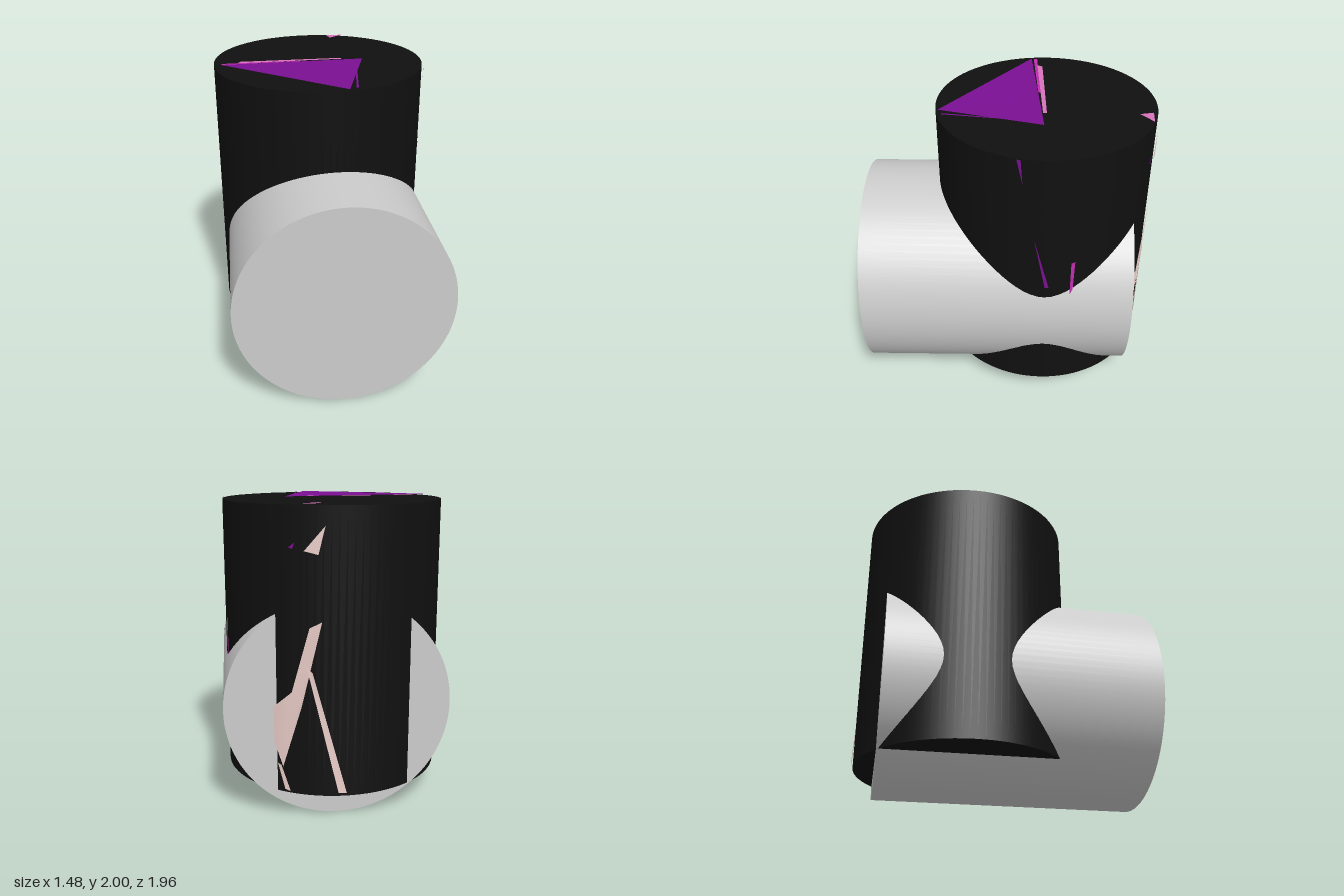
import * as THREE from 'three';

const AXIS_X = -0.02, AXIS_Z = -0.24, R = 0.722, SKIN = 0.735;
const DEG = Math.PI / 180;

const paint = (color, side = THREE.DoubleSide) => new THREE.MeshStandardMaterial({ color, side });
const black = paint(0x101010, THREE.FrontSide);
const grey = paint(0xcccccc, THREE.FrontSide);
const purple = paint(0x7a1092);
const magenta = paint(0xc02cb0);
const pink = paint(0xd873bc);
const pale = paint(0xeccfca);

function add(group, name, geometry, material) {
  const mesh = new THREE.Mesh(geometry, material);
  mesh.name = name;
  group.add(mesh);
  return mesh;
}

const outline = (points) =>
  new THREE.ShapeGeometry(new THREE.Shape(points.map(([u, v]) => new THREE.Vector2(u, v))));

// Moves every vertex of a flat outline with a rule (u, v) -> [x, y, z]
function mapped(points, rule) {
  const geometry = outline(points);
  const pos = geometry.attributes.position;
  for (let i = 0; i < pos.count; i++) pos.setXYZ(i, ...rule(pos.getX(i), pos.getY(i)));
  geometry.computeVertexNormals();
  return geometry;
}

// Shard on the drum wall: u = degrees from the back towards +x, v = height
const onWall = (points) => mapped(points, (a, y) => [
  AXIS_X + SKIN * Math.sin(a * DEG), y, AXIS_Z - SKIN * Math.cos(a * DEG)]);

// Shard lying on the drum lid: u = x, v = z
const onLid = (points, y) => mapped(points, (x, z) => [x, y, z]);

export function createModel() {
  const model = new THREE.Group();

  // Upright and lying drums that cross each other
  add(model, 'uprightDrum', new THREE.CylinderGeometry(R, R, 1.81, 96), black)
    .position.set(AXIS_X, 1.08, AXIS_Z);
  const lying = add(model, 'lyingDrum', new THREE.CylinderGeometry(R, R, 1.81, 96), grey);
  lying.rotation.x = Math.PI / 2;
  lying.position.set(0.013, R, 0.08);

  // Dented purple plate breaking through the lid
  const rim = [[-0.69, 2, -0.15], [0.1, 1.993, 0.46], [0.29, 1.993, -0.22]];
  const dent = [0, 1.988, -0.05];
  const plate = new THREE.BufferGeometry();
  const corners = rim.flatMap((p, i) => [...p, ...rim[(i + 1) % 3], ...dent]);
  plate.setAttribute('position', new THREE.Float32BufferAttribute(corners, 3));
  plate.computeVertexNormals();
  add(model, 'lidPlate', plate, purple);

  // Slivers on the lid
  const lid = [
    [pink, [[-0.58, -0.19], [-0.56, -0.225], [0.14, -0.24], [0.14, -0.215]], 1.997],
    [magenta, [[-0.69, -0.19], [-0.15, -0.205], [-0.15, -0.19], [-0.69, -0.165]], 1.996],
    [pink, [[0.12, -0.92], [0.24, -0.91], [0.14, -0.83]], 1.994],
    [purple, [[0.2, 0.06], [0.21, 0.06], [0.16, 0.43], [0.145, 0.43]], 1.992],
  ];
  lid.forEach(([material, points, y]) => add(model, 'lidSliver', onLid(points, y), material));

  // Shards breaking through the wall, at the back and on the +x side
  const wall = [
    [pale, [[43, 0.8], [43, 0.7], [32, 0.35], [22, 0.76], [12, 1.3], [18, 1.26], [27, 0.85], [37, 0.74]]],
    [pale, [[19.5, 1.02], [16.5, 0.98], [0, 0.2], [4, 0.2]]],
    [pale, [[35, 0.37], [33, 0.36], [28, 0.19], [31, 0.2]]],
    [pale, [[20.5, 1.72], [10.4, 1.87], [13.7, 1.7]]],
    [purple, [[28, 1.74], [25, 1.77], [26, 1.73]]],
    [magenta, [[77, 1.22], [75, 1.23], [75.5, 1.0], [77, 0.96]]],
    [purple, [[96, 1.42], [88, 1.03], [90, 1.03]]],
    [purple, [[105, 1.985], [103, 1.985], [102, 1.82]]],
  ];
  wall.forEach(([material, points]) => add(model, 'wallShard', onWall(points), material));

  return model;
}
